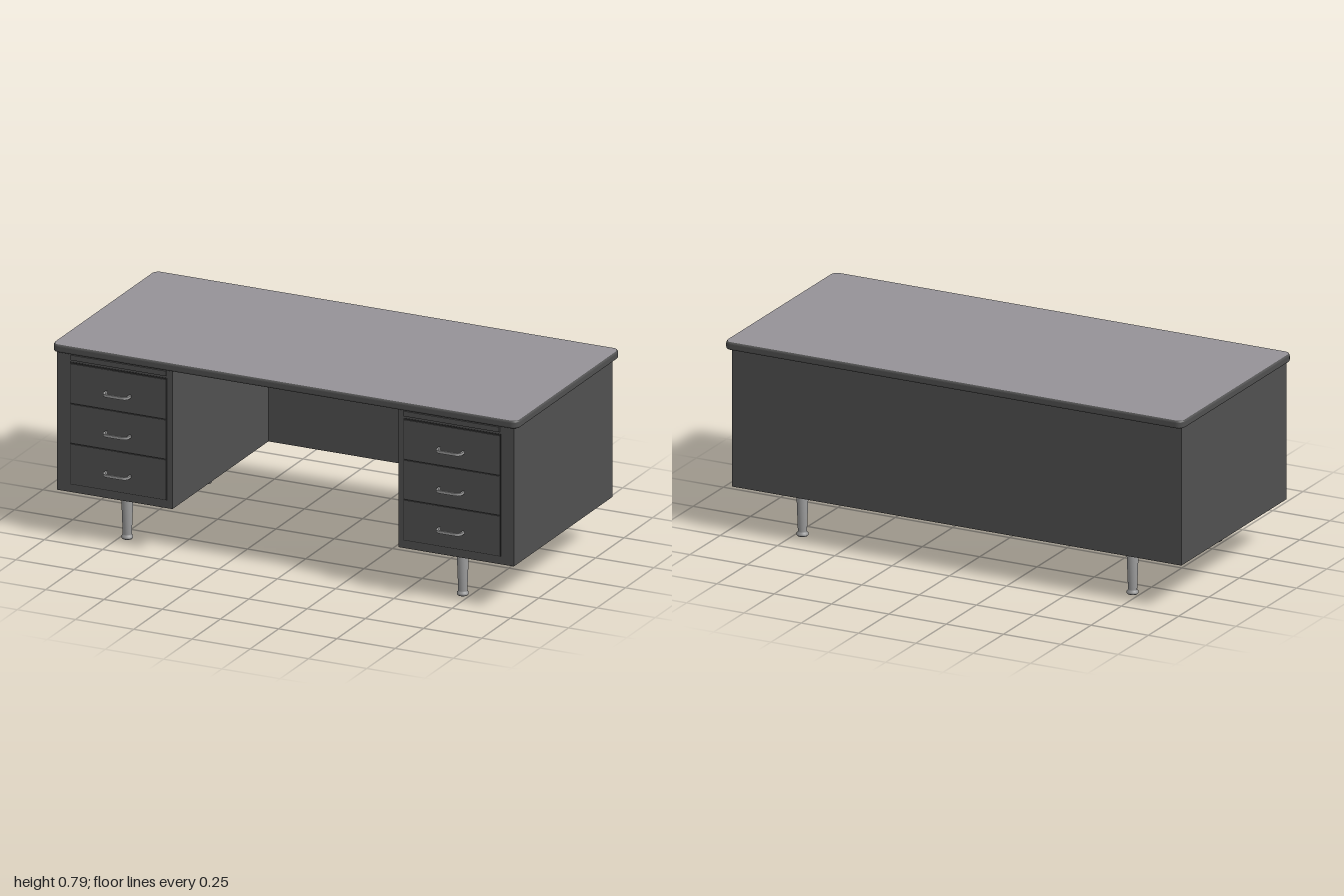
import * as THREE from 'three';

const body = new THREE.MeshStandardMaterial({ color: 0x505050 });
body.name = 'dark grey enamel';
const topGrey = new THREE.MeshStandardMaterial({ color: 0x959297 });
topGrey.name = 'light grey linoleum';
const metal = new THREE.MeshStandardMaterial({ color: 0x999999 });
metal.name = 'brushed metal';
const seam = new THREE.MeshStandardMaterial({ color: 0x2c2c2c });
seam.name = 'shadow gap';

function add(parent, name, geometry, material, x = 0, y = 0, z = 0) {
  const mesh = new THREE.Mesh(geometry, material);
  mesh.name = name;
  mesh.position.set(x, y, z);
  parent.add(mesh);
  return mesh;
}

// Box given by its min and max on each axis
function addBox(parent, name, material, [x0, x1], [y0, y1], [z0, z1]) {
  return add(parent, name, new THREE.BoxGeometry(x1 - x0, y1 - y0, z1 - z0), material,
    (x0 + x1) / 2, (y0 + y1) / 2, (z0 + z1) / 2);
}

function roundedRect(w, d, r, Type = THREE.Shape) {
  const s = new Type(), x = w / 2, y = d / 2;
  s.absarc(x - r, y - r, r, 0, Math.PI / 2);
  s.absarc(-x + r, y - r, r, Math.PI / 2, Math.PI);
  s.absarc(-x + r, -y + r, r, Math.PI, Math.PI * 1.5);
  s.absarc(x - r, -y + r, r, Math.PI * 1.5, Math.PI * 2);
  s.closePath();
  return s;
}

// Desk top: rounded dark rim with a light writing surface
function addTop(parent) {
  const b = 0.008, h = 0.032, zc = -0.016;
  const rim = new THREE.ExtrudeGeometry(roundedRect(2 - 2 * b, 0.912 - 2 * b, 0.022), {
    depth: h - 2 * b, bevelThickness: b, bevelSize: b, bevelSegments: 4, curveSegments: 6,
  });
  rim.rotateX(-Math.PI / 2);
  add(parent, 'topRim', rim, body, 0, 0.755 + b, zc);
  const surface = new THREE.ShapeGeometry(roundedRect(1.992, 0.904, 0.026), 6);
  surface.rotateX(-Math.PI / 2);
  add(parent, 'writingSurface', surface, topGrey, 0, 0.7878, zc);
}

// Flat bow handle, lying in the xz plane
function handleGeometry() {
  const s = new THREE.Shape();
  s.moveTo(-0.055, 0);
  s.lineTo(-0.055, 0.02);
  s.quadraticCurveTo(-0.052, 0.04, -0.03, 0.04);
  s.lineTo(0.03, 0.04);
  s.quadraticCurveTo(0.052, 0.04, 0.055, 0.02);
  s.lineTo(0.055, 0);
  s.lineTo(0.047, 0);
  s.lineTo(0.047, 0.018);
  s.quadraticCurveTo(0.044, 0.031, 0.028, 0.031);
  s.lineTo(-0.028, 0.031);
  s.quadraticCurveTo(-0.044, 0.031, -0.047, 0.018);
  s.lineTo(-0.047, 0);
  s.closePath();
  const g = new THREE.ExtrudeGeometry(s, { depth: 0.011, bevelEnabled: false, curveSegments: 6 });
  g.rotateX(Math.PI / 2);
  return g.translate(0, 0.0055, 0);
}

// Tapered leg with a collar foot
function legGeometry() {
  const profile = [[0, 0], [0.02, 0], [0.023, 0.004], [0.023, 0.011], [0.018, 0.015],
    [0.018, 0.02], [0.024, 0.18], [0, 0.18]];
  return new THREE.LatheGeometry(profile.map(([x, y]) => new THREE.Vector2(x, y)), 20);
}

export function createModel() {
  const desk = new THREE.Group();
  desk.name = 'desk';
  addTop(desk);

  // Panel closing the back of the knee space
  addBox(desk, 'modestyPanel', body, [-0.49, 0.49], [0.187, 0.756], [-0.44, -0.415]);

  const handle = handleGeometry();
  const leg = legGeometry();
  const drawers = [[0.222, 0.386], [0.392, 0.55], [0.556, 0.716]];
  const handleHeights = [0.294, 0.459, 0.623];

  for (const side of [-1, 1]) {
    const pedestal = new THREE.Group();
    pedestal.name = side > 0 ? 'leftPedestal' : 'rightPedestal';
    pedestal.position.x = side * 0.7325;
    desk.add(pedestal);

    addBox(pedestal, 'cabinet', body, [-0.2475, 0.2475], [0.187, 0.756], [-0.44, 0.428]);

    // Drawer fronts over a dark backing that shows as thin gaps
    const cx = -side * 0.0175;
    addBox(pedestal, 'drawerGaps', seam, [cx - 0.209, cx + 0.209], [0.219, 0.722], [0.425, 0.429]);
    drawers.forEach(([y0, y1], i) => {
      addBox(pedestal, 'drawerFront', body, [cx - 0.205, cx + 0.205], [y0, y1], [0.42, 0.433]);
      add(pedestal, 'drawerHandle', handle, metal, cx, handleHeights[i], 0.432);
    });

    // Pull-out board under the top
    addBox(pedestal, 'slideBoard', body, [cx - 0.205, cx + 0.205], [0.731, 0.752], [0.42, 0.435]);

    // Legs on square mounting plates
    for (const z of [0.344, -0.35]) {
      const lx = -side * 0.0125;
      addBox(pedestal, 'legPlate', metal, [lx - 0.047, lx + 0.047], [0.181, 0.188], [z - 0.047, z + 0.047]);
      add(pedestal, 'leg', leg, metal, lx, 0.002, z);
    }
  }
  return desk;
}
